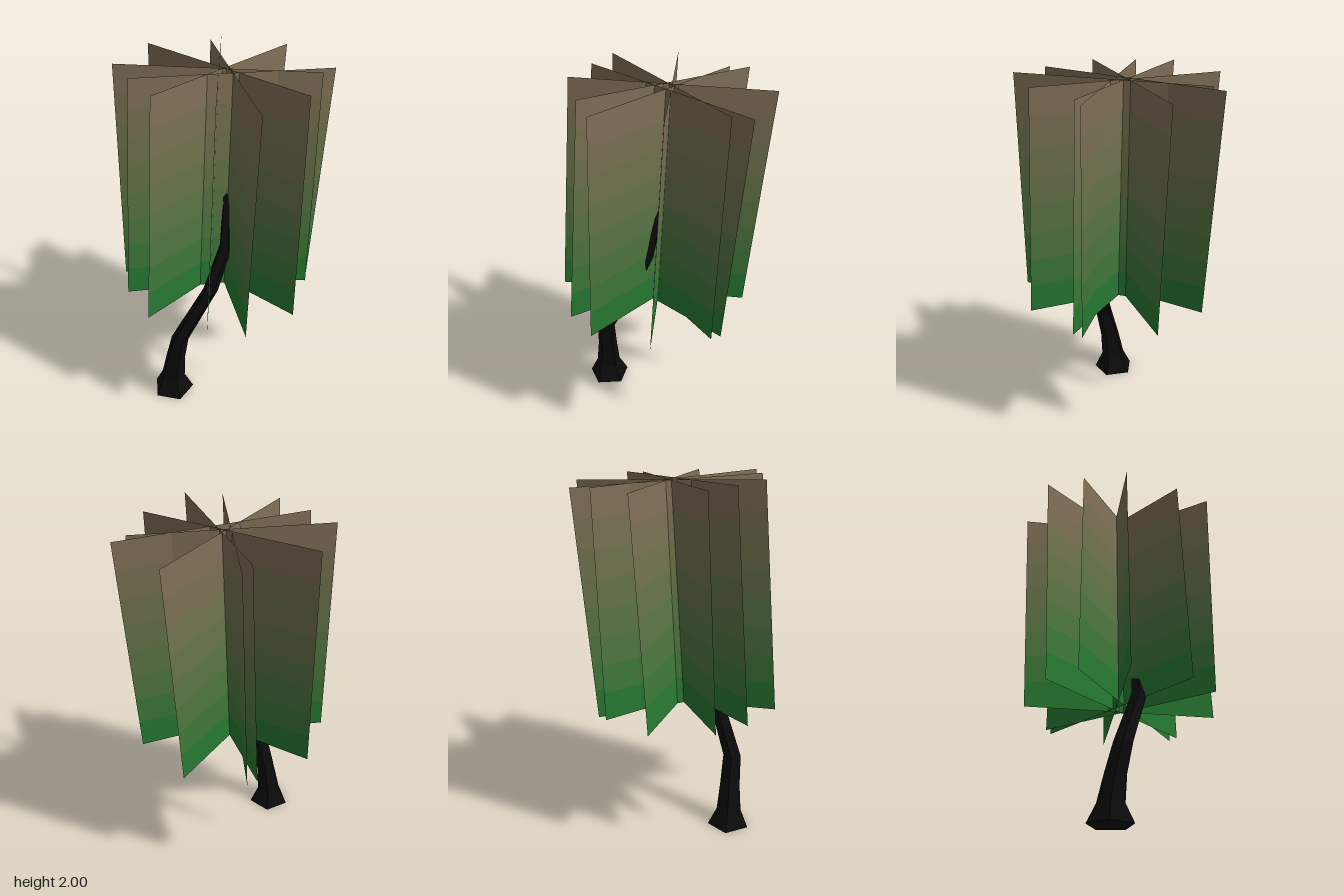
import * as THREE from 'three';

// Trunk cross-sections from root to tip: [x, y, z, radius]
const TRUNK = [
  [-0.02, 0, 0.36, 0.123],
  [-0.018, 0.1, 0.362, 0.074],
  [0.004, 0.25, 0.355, 0.06],
  [0.043, 0.42, 0.346, 0.053],
  [0.13, 0.75, 0.18, 0.044],
  [0.125, 1.0, 0.06, 0.038],
  [0.08, 1.24, 0.01, 0.027],
  [0.02, 1.39, 0, 0.006],
];

// Foliage panels: top edge x,z to x,z, then bottom edge x,z to x,z
const PANELS = [
  [-0.55, 0.04, 0.51, -0.13, -0.5, 0.1, 0.55, -0.065],
  [-0.43, -0.385, 0.365, 0.335, -0.39, -0.285, 0.4, 0.43],
  [-0.4, -0.28, 0.55, 0.22, -0.41, -0.225, 0.53, 0.27],
  [-0.178, 0.435, 0.32, -0.515, -0.178, 0.53, 0.32, -0.405],
  [-0.39, 0.38, 0.33, -0.41, -0.35, 0.425, 0.36, -0.36],
  [0.07, 0.48, -0.1, -0.58, 0.085, 0.58, -0.082, -0.465],
];
const BANDS = 8;

// The whole crown leans, so its top and bottom slope with z
const topCorner = (x, z) => new THREE.Vector3(x, 1.979 + 0.043 * z, z);
const bottomCorner = (x, z) => new THREE.Vector3(x, 0.708 + 0.056 * z, z);

// Five-sided tube whose rows follow the trunk sections
function createTrunk() {
  const rows = TRUNK.length - 1;
  const geometry = new THREE.CylinderGeometry(1, 1, rows, 5, rows);
  const p = geometry.attributes.position;
  for (let i = 0; i < p.count; i++) {
    const [x, y, z, r] = TRUNK[Math.round(p.getY(i) + rows / 2)];
    p.setXYZ(i, x + p.getX(i) * r, y, z + p.getZ(i) * r);
  }
  geometry.computeVertexNormals();
  const trunk = new THREE.Mesh(geometry, new THREE.MeshStandardMaterial({ color: 0x0b0b0b, flatShading: true }));
  trunk.name = 'trunk';
  return trunk;
}

// Flat four-cornered sheet
function quad(a, b, c, d) {
  const geometry = new THREE.BufferGeometry().setFromPoints([a, b, c, d]);
  geometry.setIndex([0, 1, 2, 0, 2, 3]);
  geometry.computeVertexNormals();
  return geometry;
}

export function createModel() {
  const tree = new THREE.Group();
  tree.name = 'tree';
  tree.add(createTrunk());

  // Green at the bottom fading to brown at the top
  const low = new THREE.Color(0x127a2e);
  const high = new THREE.Color(0x85705a);
  const materials = Array.from({ length: BANDS }, (_, i) => new THREE.MeshStandardMaterial({
    color: low.clone().lerp(high, (i + 0.5) / BANDS),
    side: THREE.DoubleSide,
  }));

  // Crossed panels, each stacked from colour bands
  const foliage = new THREE.Group();
  foliage.name = 'foliage';
  PANELS.forEach(([ax, az, bx, bz, cx, cz, dx, dz], n) => {
    const panel = new THREE.Group();
    panel.name = `foliagePanel${n + 1}`;
    const [topA, topB] = [topCorner(ax, az), topCorner(bx, bz)];
    const [bottomA, bottomB] = [bottomCorner(cx, cz), bottomCorner(dx, dz)];
    const sideA = (t) => bottomA.clone().lerp(topA, t);
    const sideB = (t) => bottomB.clone().lerp(topB, t);
    materials.forEach((material, i) => {
      const [t0, t1] = [i / BANDS, (i + 1) / BANDS];
      const band = new THREE.Mesh(quad(sideA(t0), sideB(t0), sideB(t1), sideA(t1)), material);
      band.name = `leafBand${i + 1}`;
      panel.add(band);
    });
    foliage.add(panel);
  });
  tree.add(foliage);
  return tree;
}
